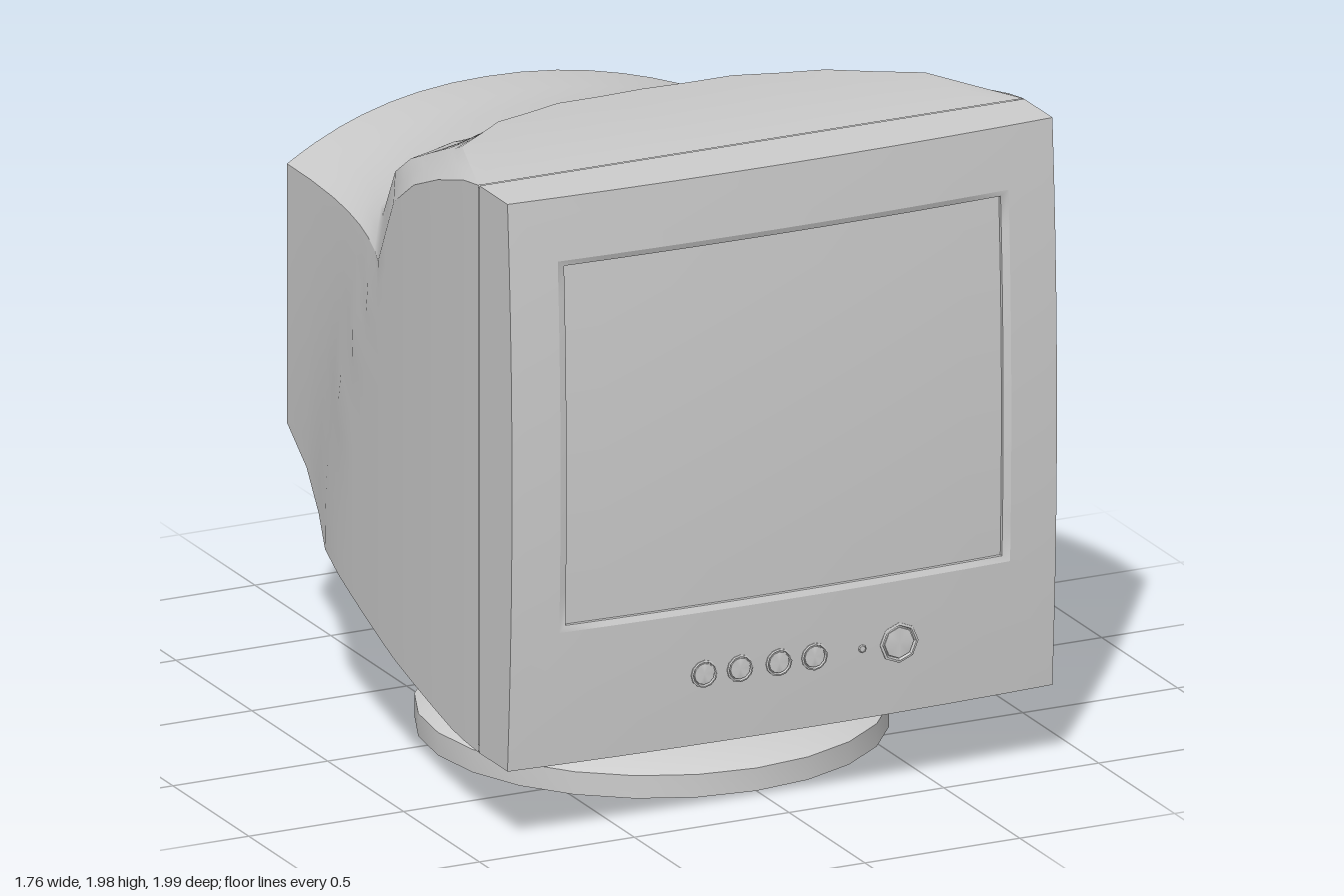
import * as THREE from 'three';
import { toCreasedNormals } from 'three/addons/utils/BufferGeometryUtils.js';

const plastic = new THREE.MeshStandardMaterial({ color: 0xcccccc, side: THREE.DoubleSide });
plastic.name = 'greyPlastic';

// Piecewise linear lookup in [[key, value], ...] with rising keys
function look(table, k) {
  if (k <= table[0][0]) return table[0][1];
  for (let i = 1; i < table.length; i++) {
    const [a, va] = table[i - 1], [b, vb] = table[i];
    if (k <= b) return va + (vb - va) * (k - a) / (b - a);
  }
  return table[table.length - 1][1];
}

// Surface f(u, v) -> [x, y, z] over lists of u and v; it faces du x dv unless flipped
function grid(us, vs, f, flip = false) {
  const pos = [], idx = [], n = us.length;
  for (const v of vs) for (const u of us) pos.push(...f(u, v));
  for (let j = 0; j < vs.length - 1; j++) for (let i = 0; i < n - 1; i++) {
    const a = j * n + i, b = a + 1, c = a + n, d = c + 1;
    if (flip) idx.push(a, c, b, b, c, d);
    else idx.push(a, b, c, b, d, c);
  }
  const g = new THREE.BufferGeometry();
  g.setAttribute('position', new THREE.Float32BufferAttribute(pos, 3));
  g.setIndex(idx);
  g.computeVertexNormals();
  return g;
}

const steps = (n) => Array.from({ length: n + 1 }, (_, i) => i / n);
const mix = (a, b, t) => a + (b - a) * t;

function add(parent, name, geometry, x = 0, y = 0, z = 0) {
  const m = new THREE.Mesh(geometry, plastic);
  m.name = name;
  m.position.set(x, y, z);
  parent.add(m);
  return m;
}

// ---- Rear shell rules ----
const half = [0, 0.16, 0.32, 0.46, 0.6, 0.72, 0.85, 0.93, 1];
const US = [...half.slice(1).reverse().map((u) => -u), ...half];
const TS = [0, 0.03, 0.06, 0.11, 0.17, 0.22, 0.276, 0.32, 0.368, 0.405, 0.442, 0.5, 0.57, 0.64, 0.72, 0.8, 0.9, 1];
const ARC = [[0, 0.03], [0.32, 0.05], [0.6, 0.16], [0.85, 0.37], [1, 0.75]];
const SPINE = [[0, 1.92], [0.03, 1.88], [0.18, 1.78], [0.43, 1.71], [0.7, 1.665], [1, 1.64]];
const SHOULDER = [[-0.88, 1.515], [0.03, 1.52], [0.15, 1.74], [0.3, 1.84], [0.47, 1.91], [0.65, 1.965], [0.75, 1.98]];
const BELLY = [[-0.88, 0.72], [-0.43, 0.49], [0.15, 0.34], [0.6, 0.25], [0.75, 0.24]];
const edgeZ = (t) => 0.75 - 1.63 * t;
const backZ = (u) => -1 + 0.12 * u * u;
const arcZ = (u) => look(ARC, Math.abs(u));

// Half width: a gently tapering cheek, then a concave run into the neck
function width(y, z) {
  const cheek = (q) => 0.88 - 0.03 * ((0.75 - q) / 0.75) ** 2;
  const k = Math.min(Math.max((y - 0.5) / 1.02, 0), 1);
  const zp = -0.4 + 0.43 * k * k;
  if (z >= zp) return cheek(z);
  const s = Math.min((zp - z) / (zp + 0.88), 1);
  return 0.7 + (cheek(zp) - 0.7) * (1 - s) ** mix(1.6, 2.4, k);
}

function neckPoint(u, t) {
  const z = edgeZ(t), ys = look(SHOULDER, z), yc = look(SPINE, t);
  return [u * width(ys, z), mix(yc, ys, Math.abs(u) ** 2.2), mix(arcZ(u), backZ(u), t)];
}

function bellyPoint(u, t) {
  const z = edgeZ(t), y = look(BELLY, z);
  return [u * width(y, z), y, mix(0.75, backZ(u), t)];
}

function buildShell() {
  const g = new THREE.Group();
  g.name = 'rearShell';
  add(g, 'hoodTop', grid(US, steps(6), (u, t) => {
    const [x, y, z] = neckPoint(u, 0);
    return [x, 1.98 - (1.98 - y) * t ** 1.8, mix(0.75, z, t)];
  }));
  add(g, 'neckTop', grid(US, TS, neckPoint));
  add(g, 'underside', grid(US, TS, bellyPoint, true));
  for (const s of [1, -1]) {
    add(g, s > 0 ? 'leftSide' : 'rightSide', grid(steps(12), TS, (v, t) => {
      const z = edgeZ(t), y = mix(look(SHOULDER, z), look(BELLY, z), v);
      return [s * width(y, z), y, z];
    }, s < 0));
  }
  add(g, 'backPanel', grid(US, [0, 1], (u, v) => {
    const a = neckPoint(u, 1);
    return [a[0], mix(a[1], 0.72, v), a[2]];
  }));
  add(g, 'seamCore', new THREE.BoxGeometry(1.74, 1.71, 0.1), 0, 1.11, 0.75);
  return g;
}

// ---- Front bezel ----
const faceZ = (x, y) => 1.0 - 0.03 * (x / 0.88) ** 2 - 0.03 * ((y - 1.11) / 0.87) ** 2;

// Point on a rectangle, counterclockwise, u from 0 to 4
function onRect(u, hx, y0, y1) {
  const k = Math.min(Math.floor(u), 3), f = u - k;
  if (k === 0) return [mix(-hx, hx, f), y0];
  if (k === 1) return [hx, mix(y0, y1, f)];
  if (k === 2) return [mix(hx, -hx, f), y1];
  return [-hx, mix(y1, y0, f)];
}

function buildBezel() {
  const g = new THREE.Group();
  g.name = 'bezel';
  const loop = steps(40).map((u) => u * 4);
  const outer = [0.88, 0.24, 1.98], frame = [0.728, 0.652, 1.788], hole = [0.705, 0.67, 1.77];
  const ring = (name, n, a, b, zf) => add(g, name, toCreasedNormals(grid(loop, steps(n), (u, v) => {
    const p = onRect(u, ...a), q = onRect(u, ...b);
    const x = mix(p[0], q[0], v), y = mix(p[1], q[1], v);
    return [x, y, zf(x, y, v)];
  }), 0.6));
  ring('bezelSides', 1, outer, outer, (x, y, v) => mix(0.755, faceZ(x, y), v));
  ring('bezelBack', 1, [0.86, 0.26, 1.96], outer, () => 0.755);
  ring('bezelFace', 4, outer, frame, (x, y) => faceZ(x, y));
  ring('screenBevel', 1, frame, hole, (x, y, v) => faceZ(x, y) - 0.008 * v);
  ring('screenRecess', 1, hole, hole, (x, y, v) => faceZ(x, y) - mix(0.008, 0.025, v));
  add(g, 'screen', grid(steps(12), steps(10), (u, v) => {
    const x = mix(-0.705, 0.705, u), y = mix(0.67, 1.77, v);
    return [x, y, faceZ(x, y) - 0.02];
  }));
  return g;
}

// Round control: a raised collar with a slightly domed cap inside
function addControl(parent, name, x, r, sides) {
  const c = new THREE.Group();
  c.name = name;
  c.position.set(x, 0.46, faceZ(x, 0.46));
  const profile = [[0, 0.004], [r * 0.76, 0.004], [r * 0.8, -0.004], [r * 0.88, 0.006], [r, 0.004], [r, -0.02]];
  const lathe = new THREE.LatheGeometry(profile.map((p) => new THREE.Vector2(...p)).reverse(), sides);
  lathe.rotateX(Math.PI / 2);
  add(c, name + 'Cap', toCreasedNormals(lathe, 0.5));
  parent.add(c);
}

// ---- Connector housing under the neck ----
function buildHousing() {
  const g = new THREE.Group();
  g.name = 'connectorHousing';
  const side = new THREE.Shape([[0.6, 0.25], [0.3, 0.265], [-0.42, 0.265], [-0.42, 0.49], [0.15, 0.35]]
    .map((p) => new THREE.Vector2(...p)));
  const wedge = new THREE.ExtrudeGeometry(side, { depth: 1.3, bevelEnabled: false });
  wedge.translate(0, 0, -0.65).rotateY(-Math.PI / 2);
  add(g, 'housingBody', wedge);
  const rim = (x) => -0.5 + 0.07 * (x / 0.65) ** 2;
  const plan = [new THREE.Vector2(-0.65, -0.4)];
  for (const u of steps(12)) plan.push(new THREE.Vector2(mix(-0.65, 0.65, u), rim(mix(-0.65, 0.65, u))));
  plan.push(new THREE.Vector2(0.65, -0.4));
  for (const [name, top, h] of [['upperLip', 0.495, 0.035], ['lowerLip', 0.305, 0.04]]) {
    const lip = new THREE.ExtrudeGeometry(new THREE.Shape(plan), { depth: h, bevelEnabled: false });
    add(g, name, lip.rotateX(Math.PI / 2), 0, top, 0);
  }
  for (const s of [-1, 1]) add(g, 'endPost', new THREE.BoxGeometry(0.06, 0.2, 0.03), s * 0.62, 0.38, -0.418);
  add(g, 'divider', new THREE.BoxGeometry(0.03, 0.17, 0.07), -0.05, 0.383, -0.455);
  add(g, 'powerSocket', new THREE.BoxGeometry(0.13, 0.08, 0.03), 0.38, 0.385, -0.43);
  const jack = new THREE.CylinderGeometry(0.022, 0.022, 0.05, 10).rotateX(Math.PI / 2);
  add(g, 'jack', jack, 0.03, 0.385, -0.44);
  return g;
}

export function createModel() {
  const model = new THREE.Group();
  model.name = 'crtMonitor';
  model.add(buildShell(), buildBezel(), buildHousing());

  // Front controls
  const controls = new THREE.Group();
  controls.name = 'controls';
  for (const x of [-0.265, -0.15, -0.025, 0.09]) addControl(controls, 'menuButton', x, 0.042, 12);
  addControl(controls, 'indicatorLight', 0.245, 0.012, 8);
  addControl(controls, 'powerButton', 0.365, 0.062, 8);
  model.add(controls);

  // Swivel stand
  const stand = [[0, 0], [0.69, 0], [0.69, 0.07], [0.62, 0.1], [0.5, 0.12], [0.47, 0.175], [0.425, 0.175], [0.45, 0.26], [0, 0.27]];
  const lathe = new THREE.LatheGeometry(stand.map((p) => new THREE.Vector2(...p)), 24);
  add(model, 'swivelStand', toCreasedNormals(lathe, 0.5), 0, 0, 0.095);
  return model;
}
